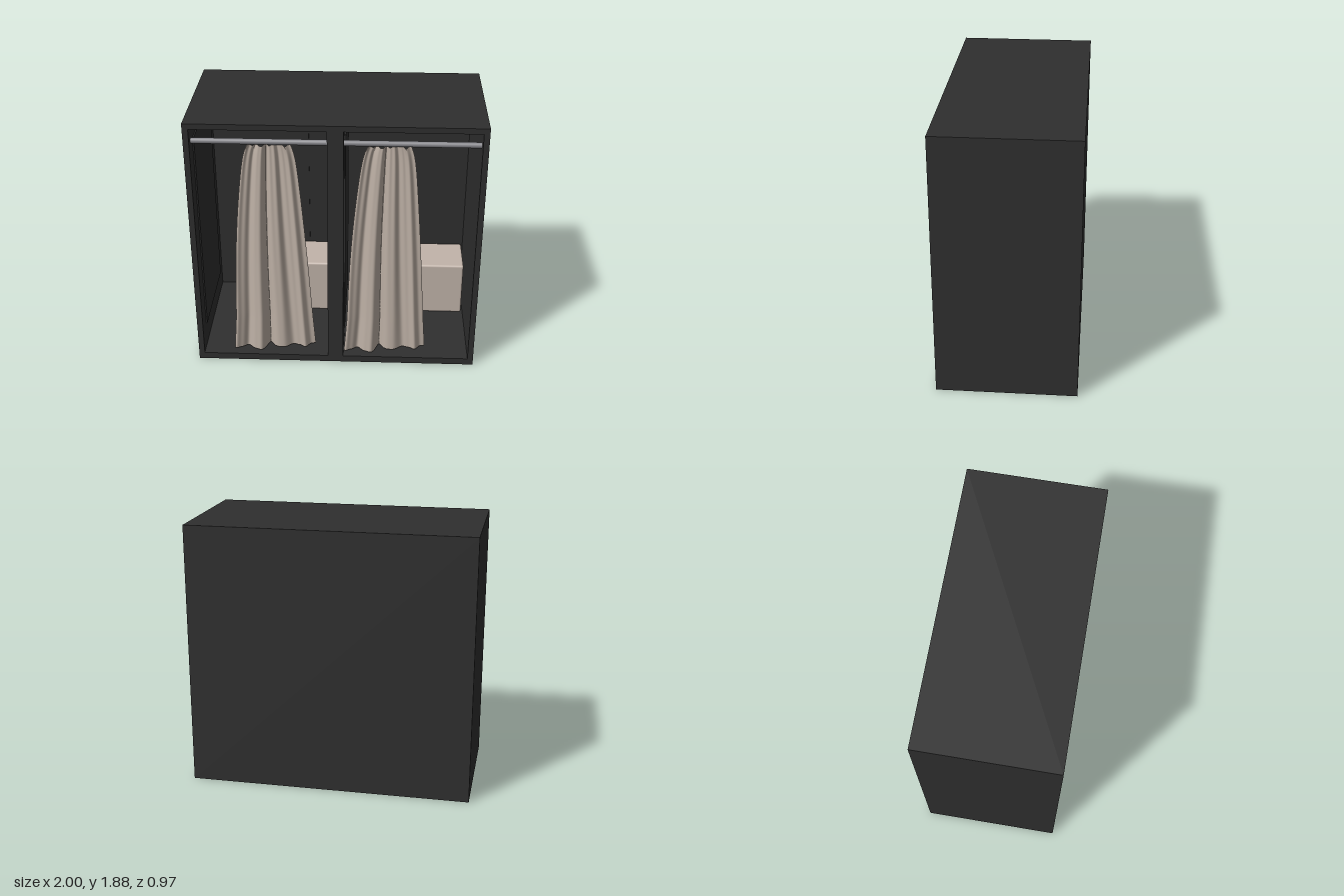
import * as THREE from 'three';
import { RoundedBoxGeometry } from 'three/addons/geometries/RoundedBoxGeometry.js';

const W = 2, H = 1.88, D = 0.97, FRONT = D / 2;
const FLOOR = 0.05, CEILING = 1.84, BACK = -0.47;
const BAYS = [[-0.96, -0.055], [0.055, 0.96]];

function makeMaterial(name, color, side = THREE.FrontSide) {
  const m = new THREE.MeshStandardMaterial({ color, side });
  m.name = name;
  return m;
}

function add(parent, name, geometry, material, x = 0, y = 0, z = 0) {
  const mesh = new THREE.Mesh(geometry, material);
  mesh.name = name;
  mesh.position.set(x, y, z);
  parent.add(mesh);
  return mesh;
}

// Box of thin sheets with some sides left out (0 +x, 1 -x, 2 +y, 3 -y, 4 +z, 5 -z)
function openBox(w, h, d, skipped) {
  const g = new THREE.BoxGeometry(w, h, d);
  const index = Array.from(g.index.array).filter((_, i) => !skipped.includes(Math.floor(i / 6)));
  g.setIndex(index);
  g.clearGroups();
  return g;
}

function rectangle(PathType, x0, x1, y0, y1) {
  return new PathType([[x0, y0], [x1, y0], [x1, y1], [x0, y1]].map(p => new THREE.Vector2(...p)));
}

// Gathered cloth: narrow at the rod, flaring and folding towards the hem
function curtainGeometry() {
  const cols = 110, rows = 50;
  const g = new THREE.PlaneGeometry(1, 1, cols, rows);
  const p = g.attributes.position;
  const crease = (u, c, w) => Math.exp(-(((u - c) / w) ** 2));
  for (let i = 0; i < p.count; i++) {
    const u = p.getX(i) + 0.5;
    const t = 0.5 - p.getY(i);
    const rounding = 0.025 * Math.exp(-t * 25);
    const bulge = 0.02 * Math.sin(Math.PI * Math.min(1, t * 1.2));
    const left = -0.615 - 0.125 * t + rounding - bulge;
    const right = -0.275 + 0.125 * t - rounding + bulge * 0.3;
    const x = left + (right - left) * u;
    const drift = u + 0.03 * t * Math.sin(u * 7);
    let z = 0.41 - 0.05 * t * (u - 0.4);
    z += (0.009 + 0.011 * t) * Math.sin(drift * 23 + 0.6);
    z += 0.005 * Math.sin(drift * 51 + 1);
    z += (0.012 + 0.012 * t) * crease(u, 0.33, 0.06);
    z -= (0.02 + 0.02 * t) * crease(u, 0.43, 0.035);
    z -= (0.008 + 0.012 * t) * crease(u, 0.66, 0.05);
    const scallop = 0.006 * Math.sin(u * 34) * Math.exp(-t * 30);
    const hem = 0.012 * t * Math.sin(u * Math.PI);
    p.setXYZ(i, x, 1.705 - 1.63 * t + scallop - hem, z);
  }
  g.computeVertexNormals();
  return g;
}

export function createModel() {
  const wardrobe = new THREE.Group();
  wardrobe.name = 'wardrobe';
  const dark = makeMaterial('charcoal board', 0x2f2f2f, THREE.DoubleSide);
  const metal = makeMaterial('grey metal', 0x85858a);
  const cloth = makeMaterial('beige cloth', 0xbdb0a5, THREE.DoubleSide);
  const boxColour = makeMaterial('pale box', 0xc2b4aa);

  // Outer shell, open underneath, with a front frame around two bays
  add(wardrobe, 'outerShell', openBox(W, H, D, [3, 4]), dark, 0, H / 2, 0);
  const face = rectangle(THREE.Shape, -W / 2, W / 2, 0, H);
  BAYS.forEach(([x0, x1]) => face.holes.push(rectangle(THREE.Path, x0, x1, FLOOR, CEILING)));
  add(wardrobe, 'frontFrame', new THREE.ShapeGeometry(face), dark, 0, 0, FRONT);

  const curtain = curtainGeometry();
  const panelLeft = [-0.9, 0.15];

  BAYS.forEach(([x0, x1], i) => {
    const bay = new THREE.Group();
    bay.name = i ? 'leftBay' : 'rightBay';
    wardrobe.add(bay);
    const w = x1 - x0, cx = (x0 + x1) / 2;

    // Inner lining, open to the front
    const h = CEILING - FLOOR, d = FRONT - BACK;
    add(bay, 'innerLining', openBox(w, h, d, [4]), dark, cx, FLOOR + h / 2, BACK + d / 2);

    // Thin panels on the back and side walls
    add(bay, 'backPanel', new THREE.BoxGeometry(0.66, 1.5, 0.008), dark,
      panelLeft[i] + 0.33, 0.97, BACK + 0.004);
    add(bay, 'sidePanel', new THREE.BoxGeometry(0.009, 1.5, 0.7), dark, x0 + 0.0045, 0.97, 0);

    // Hanging rod
    const rod = add(bay, 'hangingRod', new THREE.CylinderGeometry(0.02, 0.02, w, 24), metal, cx, 1.728, 0.41);
    rod.rotation.z = Math.PI / 2;

    // Curtain and storage box
    add(bay, 'curtain', curtain, cloth, i * 0.8, 0, 0);
    add(bay, 'storageBox', new RoundedBoxGeometry(0.335, 0.42, 0.34, 3, 0.015), boxColour,
      x1 - 0.0125 - 0.1675, FLOOR + 0.211, -0.28);
  });

  return wardrobe;
}
